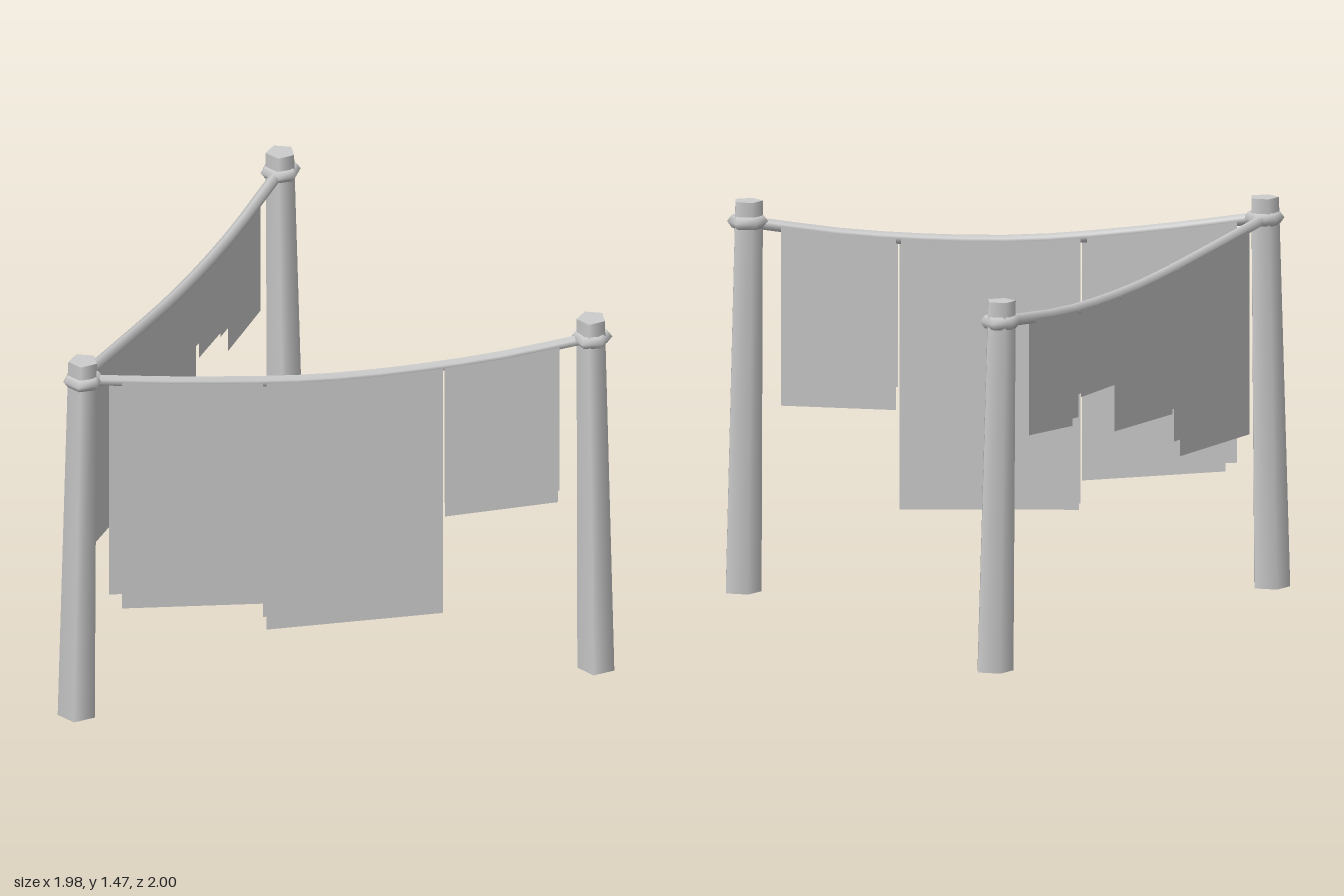
import * as THREE from 'three';

const grey = new THREE.MeshStandardMaterial({ color: 0xcccccc, side: THREE.DoubleSide });
grey.name = 'plain grey';

function add(parent, name, geometry) {
  const mesh = new THREE.Mesh(geometry, grey);
  mesh.name = name;
  parent.add(mesh);
  return mesh;
}

// Five-sided tapered post, leaning from its foot to its top, with a lashing ring
function post(name, foot, top, height, turn) {
  const group = new THREE.Group();
  group.name = name;
  const geo = new THREE.CylinderGeometry(0.056, 0.073, height, 5, 1);
  geo.rotateY(turn);
  geo.translate(0, height / 2, 0);
  const p = geo.attributes.position;
  for (let i = 0; i < p.count; i++) {
    const t = p.getY(i) / height;
    p.setX(i, p.getX(i) + foot[0] + (top[0] - foot[0]) * t);
    p.setZ(i, p.getZ(i) + foot[1] + (top[1] - foot[1]) * t);
  }
  add(group, 'pole', geo);
  const ring = new THREE.TorusGeometry(0.052, 0.025, 5, 6);
  ring.rotateX(Math.PI / 2);
  ring.rotateY(turn);
  add(group, 'lashingRing', ring).position.set(top[0], height - 0.078, top[1]);
  return group;
}

// Sagging rope with pairs of cloth sheets hung over it.
// sag: [fraction, height] points; sheet: [x0, x1, bottom0, bottom1, zOffset]
function line(name, a, b, sag, ropeShift, sheets) {
  const group = new THREE.Group();
  group.name = name;
  const zAt = x => a[1] + (b[1] - a[1]) * (x - a[0]) / (b[0] - a[0]);
  const curve = new THREE.CatmullRomCurve3(sag.map(([t, y]) => {
    const x = a[0] + (b[0] - a[0]) * t;
    return new THREE.Vector3(x, y, zAt(x) + ropeShift);
  }));
  add(group, 'rope', new THREE.TubeGeometry(curve, 12, 0.022, 6));

  const points = curve.getPoints(60);
  const ropeY = x => {
    let i = 1;
    while (i < points.length - 1 && points[i].x < x) i++;
    const p = points[i - 1], q = points[i];
    return p.y + (q.y - p.y) * (x - p.x) / (q.x - p.x);
  };
  for (const [x0, x1, y0, y1, dz] of sheets) {
    const geo = new THREE.PlaneGeometry(1, 1, 6, 1);
    const p = geo.attributes.position;
    for (let i = 0; i < p.count; i++) {
      const t = p.getX(i) + 0.5;
      const x = x0 + (x1 - x0) * t;
      const y = p.getY(i) > 0 ? ropeY(x) : y0 + (y1 - y0) * t;
      p.setXYZ(i, x, y, zAt(x) + dz);
    }
    geo.computeVertexNormals();
    add(group, dz > ropeShift ? 'frontSheet' : 'backSheet', geo);
  }
  return group;
}

export function createModel() {
  const model = new THREE.Group();
  model.name = 'clothesline';

  model.add(
    post('cornerPost', [-0.928, -0.17], [-0.9, -0.166], 1.465, Math.PI / 2),
    post('frontPost', [0.69, 0.928], [0.664, 0.926], 1.465, 0.3),
    post('backPost', [0.922, -0.92], [0.89, -0.92], 1.385, Math.PI / 2),
  );

  // Long cloths between the corner post and the front post
  model.add(line('frontLine', [-0.91, -0.175], [0.667, 0.92],
    [[0.02, 1.385], [0.2, 1.345], [0.48, 1.307], [0.78, 1.33], [0.98, 1.38]], 0.01, [
      [-0.8, -0.365, 0.43, 0.4, 0.035],
      [-0.81, -0.355, 0.47, 0.455, -0.015],
      [-0.355, 0.19, 0.29, 0.297, 0.035],
      [-0.335, 0.21, 0.322, 0.335, -0.015],
      [0.195, 0.55, 0.757, 0.767, 0.035],
      [0.225, 0.575, 0.677, 0.697, -0.015],
    ]));

  // Shorter cloths between the corner post and the back post
  model.add(line('backLine', [-0.91, -0.175], [0.885, -0.92],
    [[0.02, 1.385], [0.2, 1.34], [0.5, 1.278], [0.75, 1.268], [0.98, 1.302]], 0, [
      [-0.75, -0.3, 0.657, 0.648, 0.02],
      [-0.765, -0.295, 0.602, 0.6, -0.022],
      [-0.29, 0.1, 0.753, 0.755, 0.02],
      [-0.28, 0.1, 0.785, 0.79, -0.022],
      [0.125, 0.37, 0.935, 0.937, 0.02],
      [0.115, 0.375, 0.945, 0.937, -0.022],
      [0.385, 0.68, 0.825, 0.84, 0.02],
      [0.39, 0.68, 0.865, 0.877, -0.022],
    ]));
  return model;
}
